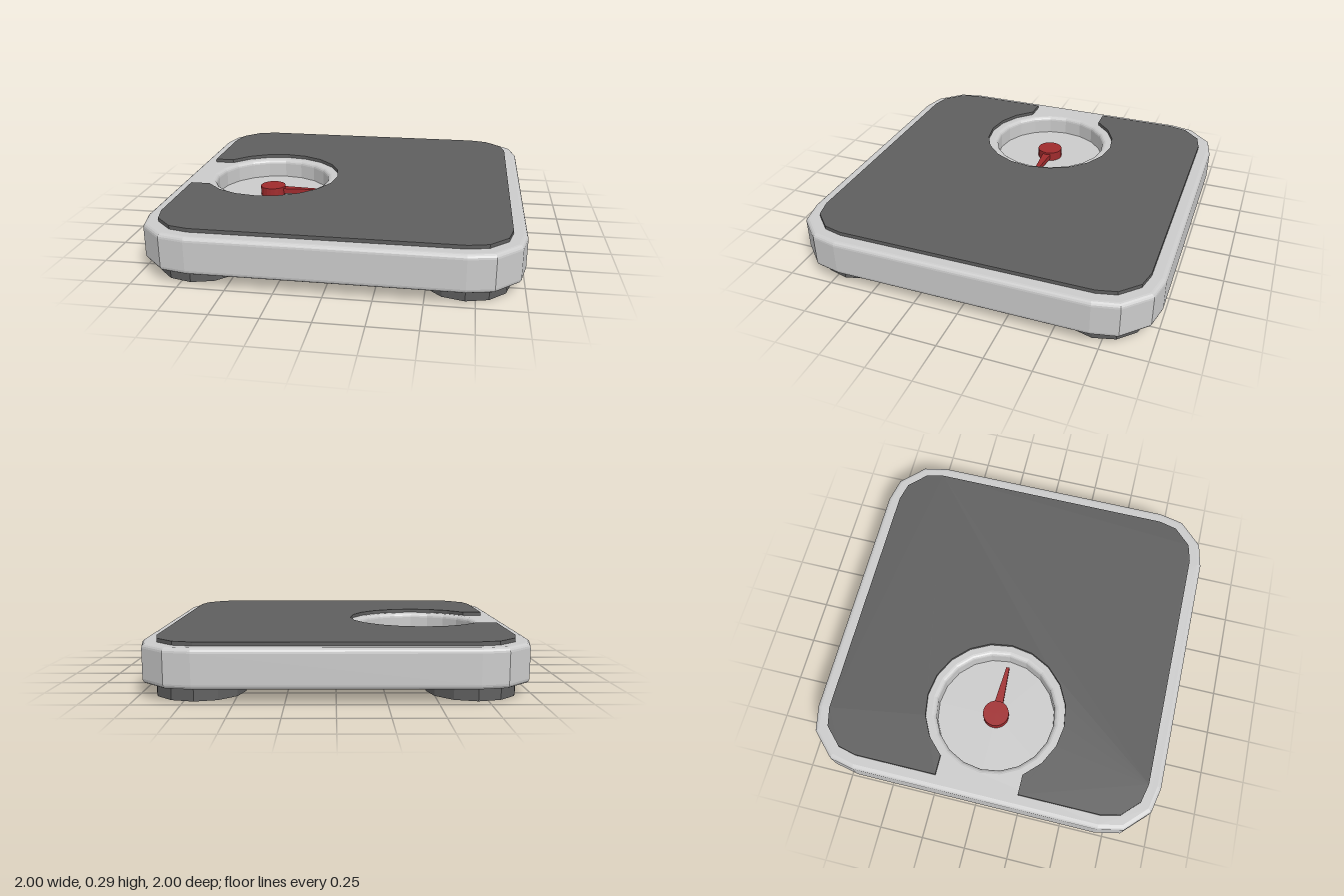
import * as THREE from 'three';

const DIAL_X = -0.49;
const SIDES = 20;

// Point on the dial's polygonal circle, in plan
const dialPoint = (r, i) => {
  const a = (i / SIDES) * Math.PI * 2;
  return new THREE.Vector2(DIAL_X + r * Math.cos(a), r * Math.sin(a));
};

// Mirror one corner's points into all four, counter-clockwise
function cornerPoints(corner) {
  const back = [...corner].reverse();
  return [
    ...corner.map(([x, y]) => new THREE.Vector2(x, y)),
    ...back.map(([x, y]) => new THREE.Vector2(-x, y)),
    ...corner.map(([x, y]) => new THREE.Vector2(-x, -y)),
    ...back.map(([x, y]) => new THREE.Vector2(x, -y)),
  ];
}

// Extrude a plan outline upwards from y0 to y1, with an optional rounded edge
function slab(shape, y0, y1, bevel = 0) {
  const geometry = new THREE.ExtrudeGeometry(shape, {
    depth: y1 - y0 - 2 * bevel,
    bevelEnabled: bevel > 0,
    bevelThickness: bevel,
    bevelSize: bevel,
    bevelOffset: -bevel,
    bevelSegments: 4,
  });
  geometry.rotateX(-Math.PI / 2);
  geometry.translate(0, y0 + bevel, 0);
  return geometry;
}

export function createModel() {
  const group = new THREE.Group();
  const material = (name, color) => {
    const m = new THREE.MeshStandardMaterial({ color, flatShading: true });
    m.name = name;
    return m;
  };
  const lightGrey = material('light grey casing', 0xcbcbcb);
  const darkGrey = material('dark grey rubber', 0x5f5f5f);
  const red = material('red pointer', 0xa02b2d);

  const add = (name, geometry, mat, x = 0, y = 0, z = 0) => {
    const mesh = new THREE.Mesh(geometry, mat);
    mesh.name = name;
    mesh.position.set(x, y, z);
    group.add(mesh);
    return mesh;
  };

  // Casing with a round dial well
  const bodyShape = new THREE.Shape(cornerPoints([[1, 0.7], [0.97, 0.84], [0.84, 0.97], [0.7, 1]]));
  const well = [];
  for (let i = 0; i < SIDES; i++) well.push(dialPoint(0.34, i));
  bodyShape.holes.push(new THREE.Path(well));
  add('casing', slab(bodyShape, 0.07, 0.275, 0.025), lightGrey);

  // Dial face, which also closes the underside
  add('dialFace', new THREE.CylinderGeometry(0.372, 0.372, 0.095, SIDES), lightGrey, DIAL_X, 0.1175, 0);

  // Tread mat, notched around the dial on its -x side
  const outline = cornerPoints([[0.925, 0.7], [0.9, 0.805], [0.805, 0.9], [0.7, 0.925]]);
  const notch = [new THREE.Vector2(-0.925, 0.235)];
  for (let i = 8; i >= -8; i--) notch.push(dialPoint(0.4, i));
  notch.push(new THREE.Vector2(-0.925, -0.235));
  outline.splice(8, 0, ...notch);
  add('treadMat', slab(new THREE.Shape(outline), 0.27, 0.295), darkGrey);

  // Pointer hub and tapered needle
  add('pointerHub', new THREE.CylinderGeometry(0.075, 0.075, 0.055, SIDES), red, DIAL_X, 0.1925, 0);
  const needle = new THREE.Shape([
    new THREE.Vector2(DIAL_X, -0.03),
    new THREE.Vector2(-0.2, -0.009),
    new THREE.Vector2(-0.2, 0.009),
    new THREE.Vector2(DIAL_X, 0.03),
  ]);
  add('pointerNeedle', slab(needle, 0.178, 0.208), red);

  // Four round feet
  const footGeometry = new THREE.CylinderGeometry(0.233, 0.233, 0.08, 12);
  for (const x of [-0.7, 0.7]) {
    for (const z of [-0.7, 0.7]) add('foot', footGeometry, darkGrey, x, 0.04, z);
  }
  return group;
}
